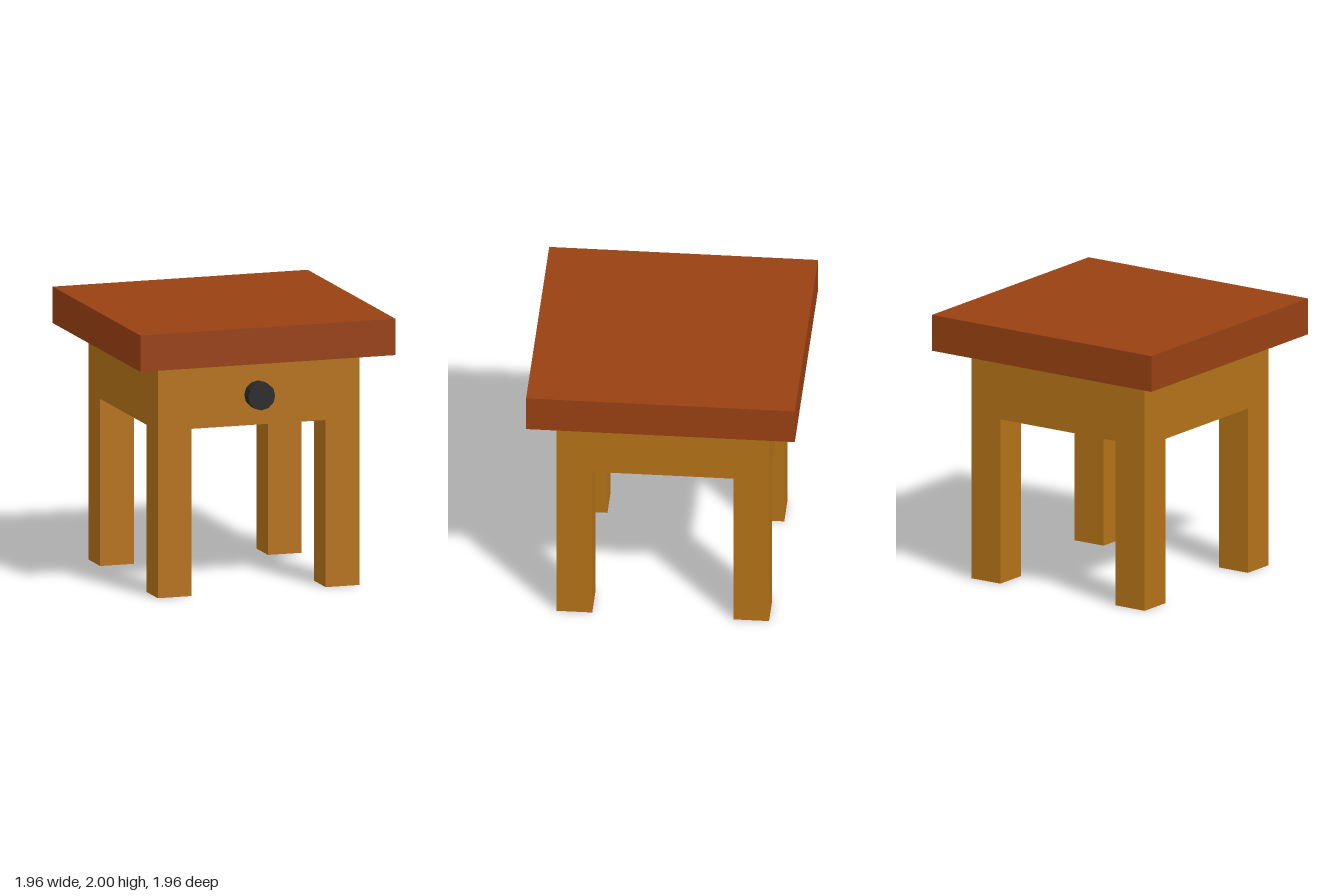
import * as THREE from 'three';

export function createModel() {
  const group = new THREE.Group();
  group.name = 'sideTable';
  const material = (color) => new THREE.MeshStandardMaterial({ color, flatShading: true });
  const topWood = material(0x984012);
  const bodyWood = material(0xb47218);
  const black = material(0x282828);

  function add(name, geometry, mat, x, y, z) {
    const mesh = new THREE.Mesh(geometry, mat);
    mesh.name = name;
    mesh.position.set(x, y, z);
    group.add(mesh);
    return mesh;
  }

  // Overhanging slab on a solid drawer case
  add('tableTop', new THREE.BoxGeometry(1.964, 0.27, 1.964), topWood, 0, 1.865, 0);
  add('drawerCase', new THREE.BoxGeometry(1.552, 0.49, 1.552), bodyWood, 0, 1.485, 0);

  // Four square legs flush with the corners of the case
  const legGeometry = new THREE.BoxGeometry(0.26, 1.24, 0.26);
  for (const [side, x] of [['Left', 1], ['Right', -1]]) {
    for (const [end, z] of [['front', 1], ['back', -1]]) {
      add(`${end}${side}Leg`, legGeometry, bodyWood, x * 0.646, 0.62, z * 0.646);
    }
  }

  // Twelve-sided drawer knob, slightly off centre
  const knobGeometry = new THREE.CylinderGeometry(0.103, 0.103, 0.095, 12).rotateX(Math.PI / 2);
  add('drawerKnob', knobGeometry, black, -0.008, 1.465, 0.822);

  return group;
}
